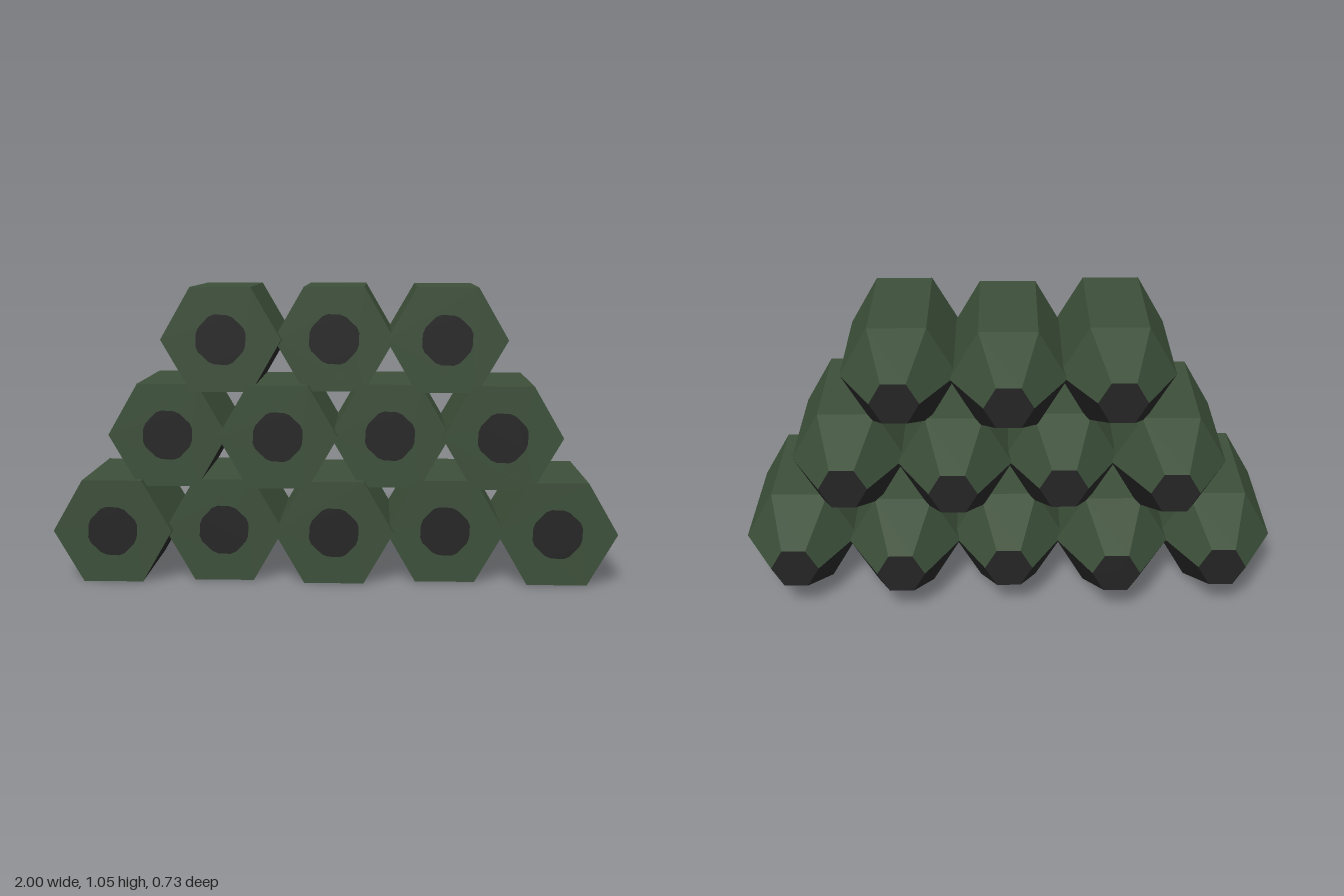
import * as THREE from 'three';

const RADIUS = 0.2113;      // hexagon corner radius
const TIP_RADIUS = 0.0875;  // corner radius of the small back end
const PITCH_X = 0.3943, PITCH_Y = 0.3415, BASE_Y = 0.183;
const FRONT_Z = 0.365, SHOULDER_Z = -0.105, BACK_Z = -0.33, STAGGER = 0.035;

// Three of the six sides, running from the tapered tip to the front rim
function halfShell(phiStart) {
  const profile = [
    new THREE.Vector2(TIP_RADIUS, BACK_Z),
    new THREE.Vector2(RADIUS, SHOULDER_Z),
    new THREE.Vector2(RADIUS, FRONT_Z),
  ];
  const lathe = new THREE.LatheGeometry(profile, 3, phiStart, Math.PI).rotateX(Math.PI / 2);
  const flat = lathe.toNonIndexed();
  flat.computeVertexNormals();
  return flat;
}

// Rounded diamond outline of the front opening
function spotPoints() {
  const quarter = [[0.088, 0.022], [0.08, 0.042], [0.042, 0.078], [0.022, 0.086]];
  const points = [];
  for (let q = 0; q < 4; q++) {
    for (const [x, y] of quarter) {
      points.push(new THREE.Vector2(x, y).rotateAround(new THREE.Vector2(), q * Math.PI / 2));
    }
  }
  return points;
}

export function createModel() {
  const green = new THREE.MeshStandardMaterial({ color: 0x3c4f39 });
  green.name = 'dark green';
  const black = new THREE.MeshStandardMaterial({ color: 0x242424 });
  black.name = 'soft black';

  // Front hexagon with the opening cut out
  const hexagon = new THREE.Shape();
  for (let i = 0; i < 6; i++) {
    const a = i * Math.PI / 3;
    hexagon[i ? 'lineTo' : 'moveTo'](RADIUS * Math.cos(a), RADIUS * Math.sin(a));
  }
  hexagon.closePath();
  hexagon.holes.push(new THREE.Path(spotPoints()));

  const parts = [
    ['upperShell', halfShell(Math.PI / 2), green],
    ['lowerShell', halfShell(-Math.PI / 2), black],
    ['frontFace', new THREE.ShapeGeometry(hexagon).translate(0, 0, FRONT_Z), green],
    ['frontSpot', new THREE.ShapeGeometry(new THREE.Shape(spotPoints())).translate(0, 0, FRONT_Z), black],
    ['backCap', new THREE.CircleGeometry(TIP_RADIUS, 6).rotateY(Math.PI).translate(0, 0, BACK_Z), black],
  ];

  // Stacked rows of five, four and three cells, alternately set back
  const model = new THREE.Group();
  model.name = 'hexagonalCellStack';
  for (let row = 0; row < 3; row++) {
    const count = 5 - row;
    for (let i = 0; i < count; i++) {
      const cell = new THREE.Group();
      cell.name = `cell_${row + 1}_${i + 1}`;
      for (const [name, geometry, material] of parts) {
        const mesh = new THREE.Mesh(geometry, material);
        mesh.name = name;
        cell.add(mesh);
      }
      cell.position.set(
        (i - (count - 1) / 2) * PITCH_X,
        BASE_Y + row * PITCH_Y,
        (row + i) % 2 ? -STAGGER : 0,
      );
      model.add(cell);
    }
  }
  return model;
}
